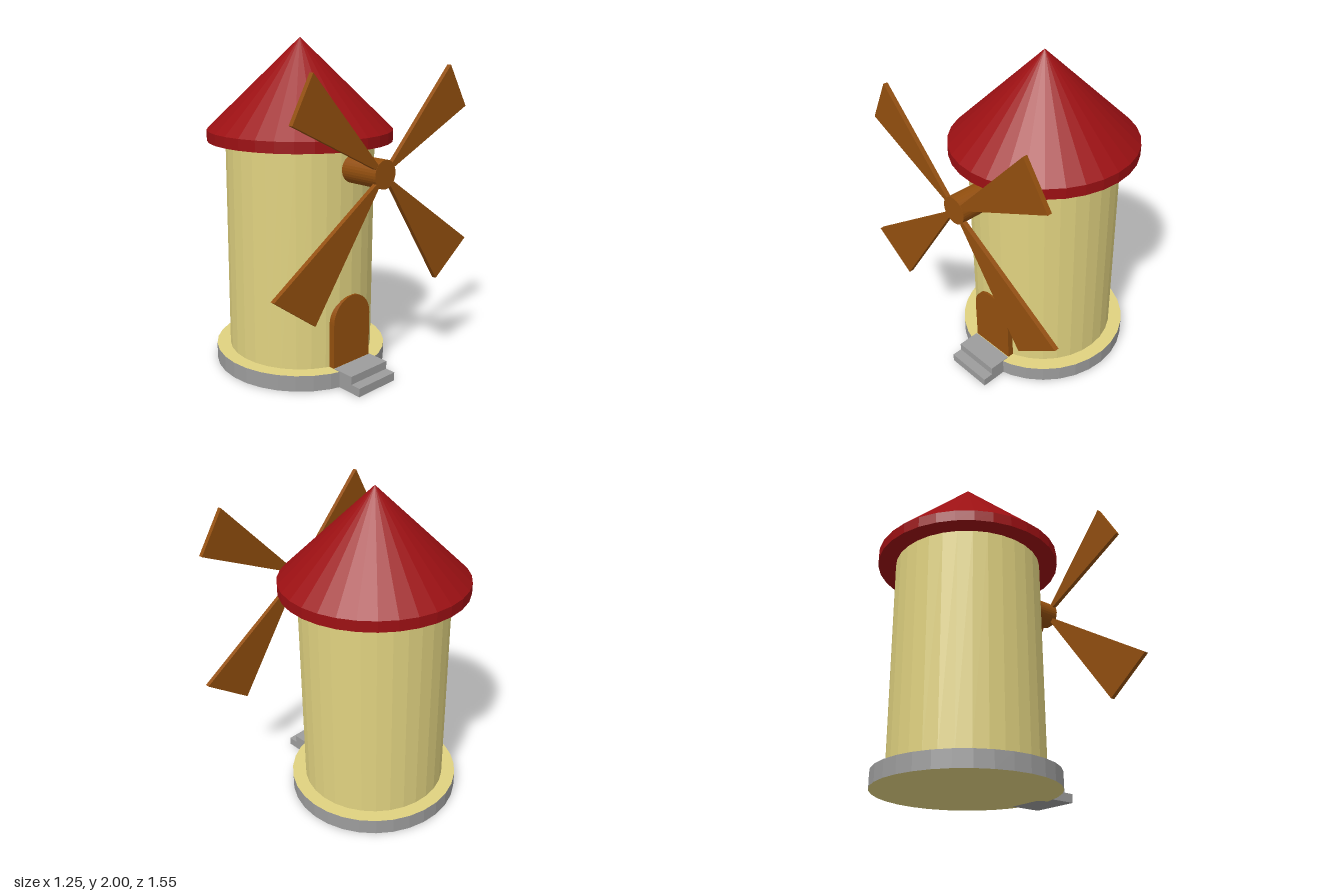
import * as THREE from 'three';

const CX = -0.069, CZ = -0.013, HUB_Y = 1.28;

function mat(name, color) {
  const m = new THREE.MeshStandardMaterial({ color, flatShading: true });
  m.name = name;
  return m;
}

export function createModel() {
  const root = new THREE.Group();
  root.name = 'windmill';
  const cream = mat('cream plaster', 0xe0d280);
  const red = mat('red roof', 0x9c1013);
  const brown = mat('brown wood', 0x934f0e);
  const grey = mat('grey stone', 0x9c9c9c);

  const add = (name, geo, material, x, y, z) => {
    const mesh = new THREE.Mesh(geo, material);
    mesh.name = name;
    mesh.position.set(x, y, z);
    root.add(mesh);
    return mesh;
  };

  // Extrudes a (-z, y) outline along +x, starting at x = 0
  const extrudeX = (shape, depth) =>
    new THREE.ExtrudeGeometry(shape, { depth, bevelEnabled: false, curveSegments: 16 }).rotateY(Math.PI / 2);

  // Round base with stone rim and plaster faces, then the tower
  add('base', new THREE.CylinderGeometry(0.535, 0.535, 0.098, 32), [grey, cream, cream], CX, 0.049, CZ);
  add('tower', new THREE.CylinderGeometry(0.45, 0.45, 1.33, 32), cream, CX, 0.755, CZ);

  // Roof: rim band and cone
  add('roofRim', new THREE.CylinderGeometry(0.56, 0.56, 0.065, 32), red, CX, 1.4325, CZ);
  add('roofCone', new THREE.ConeGeometry(0.56, 0.535, 32, 1, true), red, CX, 1.7325, CZ);

  // Arched door
  const arch = new THREE.Shape();
  arch.moveTo(-0.149, 0);
  arch.lineTo(0.149, 0);
  arch.lineTo(0.149, 0.275);
  arch.absarc(0, 0.275, 0.149, 0, Math.PI, false);
  arch.closePath();
  add('door', extrudeX(arch, 0.1), brown, 0.292, 0.098, CZ);

  // Two entrance steps
  add('upperStep', new THREE.BoxGeometry(0.14, 0.05, 0.302), grey, 0.468, 0.077, CZ);
  add('lowerStep', new THREE.BoxGeometry(0.205, 0.052, 0.302), grey, 0.5, 0.026, CZ);

  // Sail axle
  const axle = new THREE.CylinderGeometry(0.082, 0.082, 0.3, 32).rotateZ(-Math.PI / 2);
  add('axle', axle, brown, 0.473, HUB_Y, CZ);

  // Triangular sails, outer corners given as (-z, y) around the axle
  const sails = [
    [[-0.533, 0.566], [-0.667, 0.322]],
    [[0.7, 0.322], [0.54, 0.566]],
    [[0.487, -0.707], [0.764, -0.505]],
    [[-0.79, -0.532], [-0.513, -0.734]],
  ];
  sails.forEach(([a, b], i) => {
    const shape = new THREE.Shape([[0, 0], a, b].map(p => new THREE.Vector2(...p)));
    add('sail' + (i + 1), extrudeX(shape, 0.027), brown, 0.595, HUB_Y, CZ);
  });

  return root;
}
